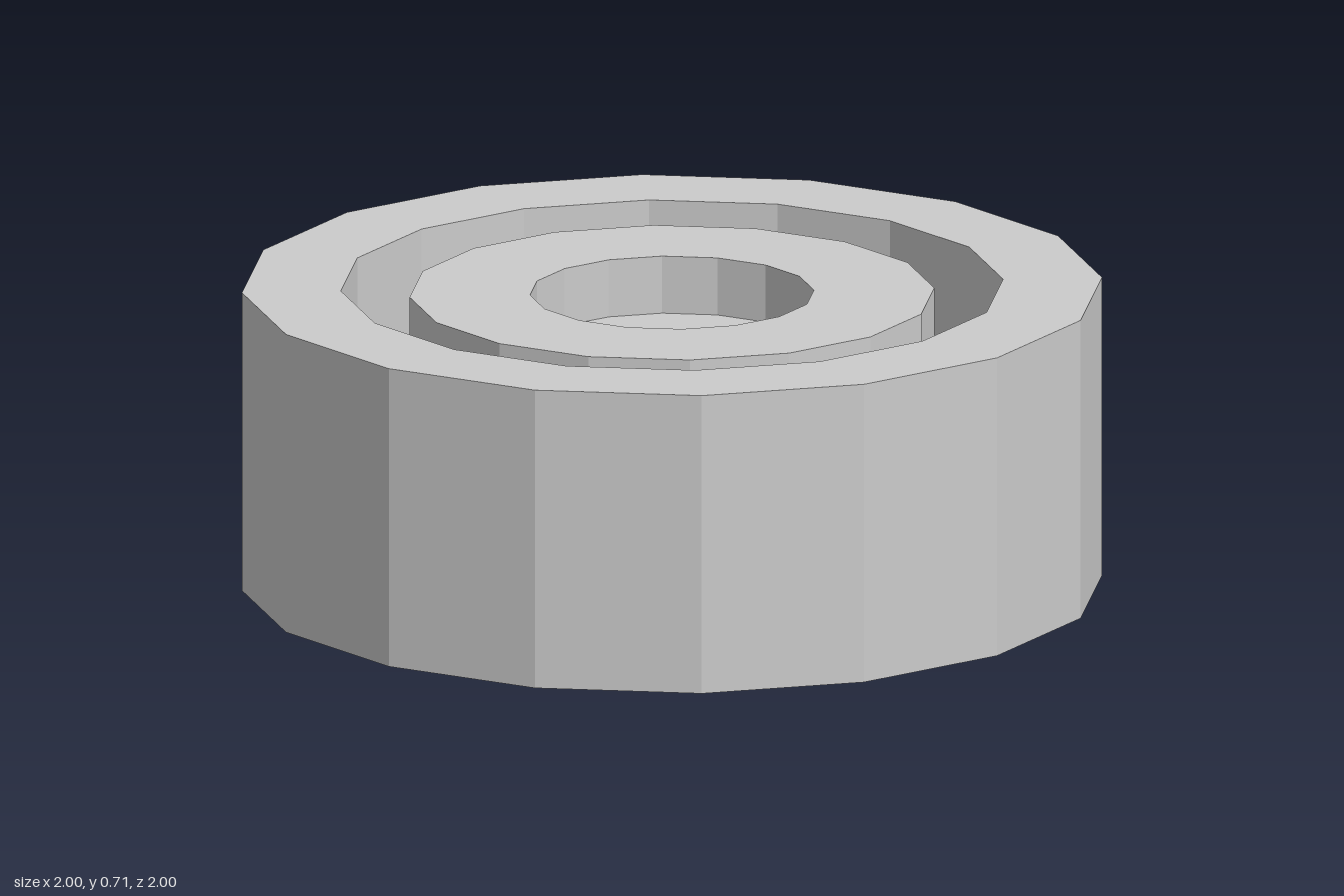
import * as THREE from 'three';

const SIDES = 16;
const HEIGHT = 0.715;   // rim top
const HUB_TOP = 0.697;  // hub sits slightly below the rim
const GROOVE = 0.3;     // groove floor level

export function createModel() {
  const model = new THREE.Group();
  model.name = 'wheel';
  const material = new THREE.MeshStandardMaterial({ color: 0xcccccc, flatShading: true });

  // Faceted surface of revolution from [radius, y] pairs
  const turn = (name, profile) => {
    const points = profile.map(([r, y]) => new THREE.Vector2(r, y));
    const mesh = new THREE.Mesh(new THREE.LatheGeometry(points, SIDES), material);
    mesh.name = name;
    model.add(mesh);
  };

  // Underside, outer wall, rim top and outer wall of the groove
  turn('outerRing', [[0.31, 0], [1, 0], [1, HEIGHT], [0.77, HEIGHT], [0.77, GROOVE]]);
  turn('grooveFloor', [[0.77, GROOVE], [0.61, GROOVE]]);

  // Raised hub with a shallow round recess on top
  turn('hub', [[0.61, GROOVE], [0.61, HUB_TOP], [0.33, HUB_TOP], [0.33, 0.56]]);
  turn('hubRecessFloor', [[0.33, 0.56], [0, 0.56]]);

  // Deep blind hole in the underside
  turn('axleHole', [[0, 0.52], [0.31, 0.52], [0.31, 0]]);

  return model;
}
